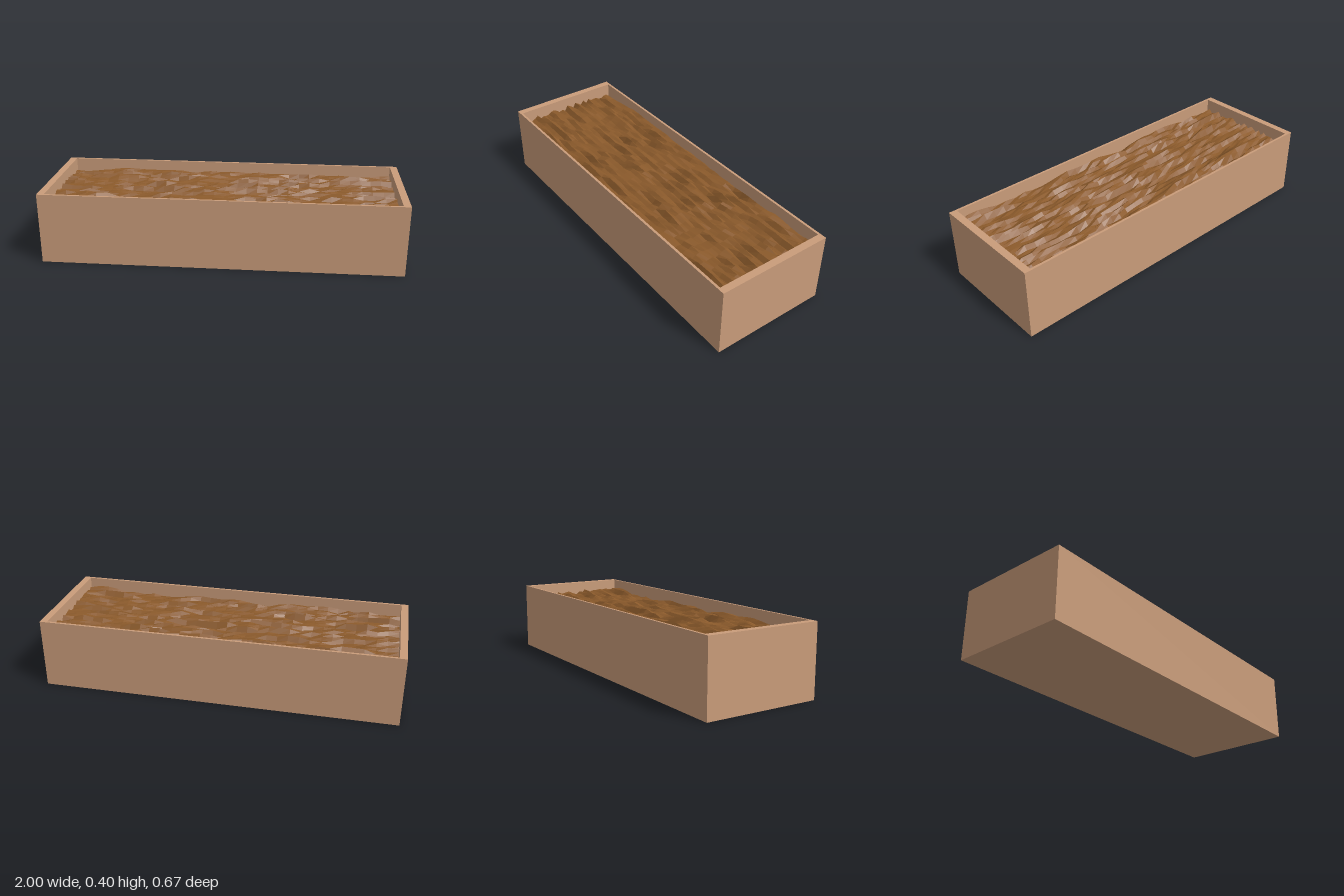
import * as THREE from 'three';

const W = 2, H = 0.4, D = 0.667;          // outer size
const IW = 1.92, ID = 0.64;               // inner opening
const FLOOR = 0.04, SOIL = 0.33, ROUGH = 0.026;

// Repeatable pseudo-random value in -1..1 for a grid point
function hash(i, j) {
  const s = Math.sin(i * 127.1 + j * 311.7) * 43758.5453;
  return (s - Math.floor(s)) * 2 - 1;
}

// Noise along x that stays smooth over a few cells, with each z row independent
function rowNoise(x, row) {
  const i = Math.floor(x);
  const t = x - i;
  return THREE.MathUtils.lerp(hash(i, row), hash(i + 1, row), t * t * (3 - 2 * t));
}

function rectangle(Type, w, d) {
  const p = new Type();
  p.moveTo(-w / 2, -d / 2);
  p.lineTo(w / 2, -d / 2);
  p.lineTo(w / 2, d / 2);
  p.lineTo(-w / 2, d / 2);
  p.closePath();
  return p;
}

export function createModel() {
  const group = new THREE.Group();
  group.name = 'planterBox';
  const wood = new THREE.MeshStandardMaterial({ color: 0xc99c7a });
  wood.name = 'lightWood';
  const earth = new THREE.MeshStandardMaterial({ color: 0x8b5a2b });
  earth.name = 'brownSoil';

  const add = (name, geometry, material) => {
    const mesh = new THREE.Mesh(geometry, material);
    mesh.name = name;
    group.add(mesh);
    return mesh;
  };

  // Walls: one rectangular frame, thicker at the ends than along the sides
  const frame = rectangle(THREE.Shape, W, D);
  frame.holes.push(rectangle(THREE.Path, IW, ID));
  const walls = new THREE.ExtrudeGeometry(frame, { depth: H, bevelEnabled: false });
  walls.rotateX(-Math.PI / 2);
  add('walls', walls, wood);

  // Floor panel closing the bottom
  const floor = add('floor', new THREE.BoxGeometry(IW, FLOOR, ID), wood);
  floor.position.y = FLOOR / 2;

  // Soil: rough, faceted surface just below the rim
  const cells = 32;
  const plane = new THREE.PlaneGeometry(IW, ID, cells, cells);
  plane.rotateX(-Math.PI / 2);
  const pos = plane.attributes.position;
  for (let k = 0; k < pos.count; k++) {
    const col = k % (cells + 1), row = Math.floor(k / (cells + 1));
    const lump = 0.75 * rowNoise(col / 2.5 + row * 0.37, row) + 0.25 * hash(col + 50, row + 90);
    pos.setY(k, SOIL + ROUGH * lump);
  }
  const soil = plane.toNonIndexed();
  soil.computeVertexNormals();
  add('soil', soil, earth);

  return group;
}
